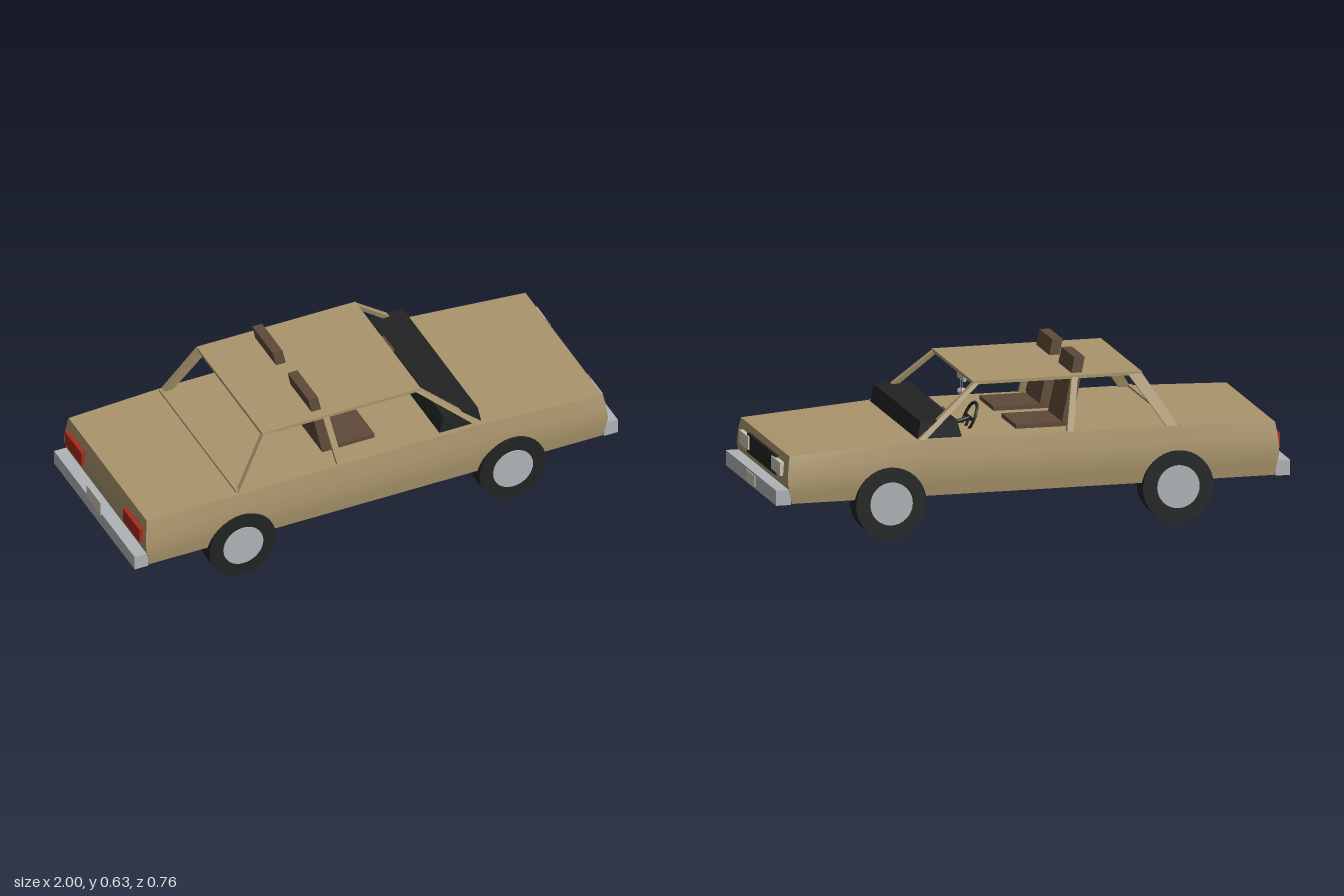
import * as THREE from 'three';

const mat = (name, color, extra = {}) => new THREE.MeshStandardMaterial({ name, color, ...extra });

export function createModel() {
  const car = new THREE.Group();
  car.name = 'sedan';
  const tan = mat('tan paint', 0xaa956c);
  const black = mat('black', 0x222323);
  const grey = mat('light grey metal', 0xb0b4b7);
  const cream = mat('cream', 0xcac5b8);
  const brown = mat('brown seat', 0x5f4a38);
  const red = mat('red lamp', 0xa82a1c);

  const add = (name, geometry, material, x = 0, y = 0, z = 0, parent = car) => {
    const m = new THREE.Mesh(geometry, material);
    m.name = name;
    m.position.set(x, y, z);
    parent.add(m);
    return m;
  };
  // Box given by its limits on each axis
  const block = (name, material, [x0, x1], [y0, y1], [z0, z1]) =>
    add(name, new THREE.BoxGeometry(x1 - x0, y1 - y0, z1 - z0), material,
      (x0 + x1) / 2, (y0 + y1) / 2, (z0 + z1) / 2);
  // Leaning, tapering box: each end is [x, y, z, sizeX, sizeZ]
  const taper = (name, material, low, high) => {
    const g = new THREE.BoxGeometry(1, 1, 1);
    const p = g.attributes.position;
    for (let i = 0; i < p.count; i++) {
      const e = p.getY(i) > 0 ? high : low;
      p.setXYZ(i, e[0] + p.getX(i) * e[3], e[1], e[2] + p.getZ(i) * e[4]);
    }
    g.computeVertexNormals();
    return add(name, g, material);
  };

  // Body shell: a box whose rows follow the bulging side and sloping ends
  const levels = [ // height share, half width, end x
    [0, 0.355, 0.935], [0.22, 0.362, 0.945], [0.45, 0.367, 0.953], [0.72, 0.363, 0.95], [1, 0.356, 0.942],
  ];
  const stations = [ // x (ends come from the level), top height, top width factor
    [-1, 0.356, 0.975], [-0.56, 0.366, 1], [0.44, 0.37, 1], [1, 0.335, 0.97],
  ];
  const shell = new THREE.BoxGeometry(3, 4, 1, 3, 4, 1);
  const sp = shell.attributes.position;
  for (let i = 0; i < sp.count; i++) {
    const s = Math.round(sp.getX(i) + 1.5);
    const [share, half, end] = levels[Math.round(sp.getY(i) + 2)];
    const [x, top, narrow] = stations[s];
    const w = half * (1 + (narrow - 1) * share * share);
    sp.setXYZ(i, s === 0 ? -end : s === 3 ? end : x, 0.155 + (top - 0.155) * share, Math.sign(sp.getZ(i)) * w);
  }
  shell.computeVertexNormals();
  add('body', shell, tan);

  // Roof and window frames
  block('roof', tan, [-0.44, 0.215], [0.556, 0.568], [-0.292, 0.292]);
  block('rearWindowSill', tan, [-0.572, -0.555], [0.362, 0.374], [-0.342, 0.342]);
  for (const s of [1, -1]) {
    const side = s > 0 ? 'Far' : 'Near';
    taper('windscreenPillar' + side, tan, [0.435, 0.365, s * 0.343, 0.03, 0.026], [0.203, 0.562, s * 0.285, 0.024, 0.026]);
    taper('doorPillar' + side, tan, [-0.145, 0.365, s * 0.345, 0.025, 0.018], [-0.178, 0.562, s * 0.288, 0.025, 0.018]);
    taper('rearPillar' + side, tan, [-0.545, 0.362, s * 0.34, 0.045, 0.02], [-0.412, 0.562, s * 0.287, 0.055, 0.02]);

    // Seats
    taper('seatBack' + side, brown, [-0.155, 0.365, s * 0.157, 0.04, 0.2], [-0.21, 0.627, s * 0.157, 0.04, 0.182]);
    block('seatCushion' + side, brown, [-0.16, 0.04], [0.36, 0.385], [s * 0.157 - 0.1, s * 0.157 + 0.1]);

    // Lamps
    block('headlight' + side, cream, [0.935, 0.964], [0.25, 0.301], [s * 0.228 - 0.063, s * 0.228 + 0.063]);
    block('tailLight' + side, red, [-0.965, -0.935], [0.25, 0.31], [s * 0.257 - 0.073, s * 0.257 + 0.073]);
  }

  // Nose and bumpers
  block('grille', black, [0.935, 0.958], [0.234, 0.309], [-0.202, 0.202]);
  block('frontBumper', grey, [0.94, 0.997], [0.152, 0.21], [-0.358, 0.358]);
  block('rearBumper', grey, [-0.997, -0.94], [0.152, 0.21], [-0.358, 0.358]);
  block('frontPlate', cream, [0.995, 1], [0.16, 0.201], [-0.062, 0.062]);
  block('rearPlate', cream, [-1, -0.996], [0.2, 0.258], [-0.062, 0.062]);

  // Dashboard with instrument panel
  taper('dashboard', black, [0.357, 0.365, 0, 0.175, 0.672], [0.36, 0.436, 0, 0.14, 0.666]);
  taper('instrumentPanel', brown, [0.272, 0.385, -0.162, 0.008, 0.1], [0.29, 0.438, -0.162, 0.012, 0.1]);

  // Steering wheel on its column
  const steering = new THREE.Group();
  steering.name = 'steeringWheel';
  steering.position.set(0.193, 0.4, -0.157);
  steering.rotation.z = 0.42;
  car.add(steering);
  add('rim', new THREE.TorusGeometry(0.06, 0.006, 8, 32).rotateY(Math.PI / 2), black, 0, 0, 0, steering);
  add('spoke', new THREE.BoxGeometry(0.008, 0.012, 0.116), black, 0, 0, 0, steering);
  add('lowerSpoke', new THREE.BoxGeometry(0.008, 0.058, 0.012), black, 0, -0.03, 0, steering);
  const column = add('steeringColumn', new THREE.CylinderGeometry(0.008, 0.008, 0.1, 12), black, 0.238, 0.388, -0.157);
  column.rotation.z = Math.PI / 2 - 0.25;

  // Mirror with two hanging cubes
  block('mirror', grey, [0.174, 0.186], [0.511, 0.54], [-0.046, 0.046]);
  block('mirrorStem', grey, [0.177, 0.183], [0.538, 0.558], [-0.003, 0.003]);
  for (const [z, y, turn] of [[0.017, 0.463, 0.6], [-0.017, 0.472, 0.3]]) {
    block('string', grey, [0.179, 0.181], [y, 0.513], [z - 0.001, z + 0.001]);
    add('hangingCube', new THREE.BoxGeometry(0.016, 0.016, 0.016), cream, 0.18, y, z).rotation.set(turn, turn, 0.3);
  }

  // Wheels
  for (const x of [-0.558, 0.555]) for (const s of [1, -1]) {
    const wheel = new THREE.Group();
    wheel.name = 'wheel';
    wheel.position.set(x, 0.137, s * 0.33);
    car.add(wheel);
    add('tyre', new THREE.CylinderGeometry(0.137, 0.137, 0.09, 32).rotateX(Math.PI / 2), black, 0, 0, 0, wheel);
    add('hubcap', new THREE.CylinderGeometry(0.082, 0.082, 0.01, 32).rotateX(Math.PI / 2), grey, 0, 0, s * 0.045, wheel);
  }
  return car;
}
